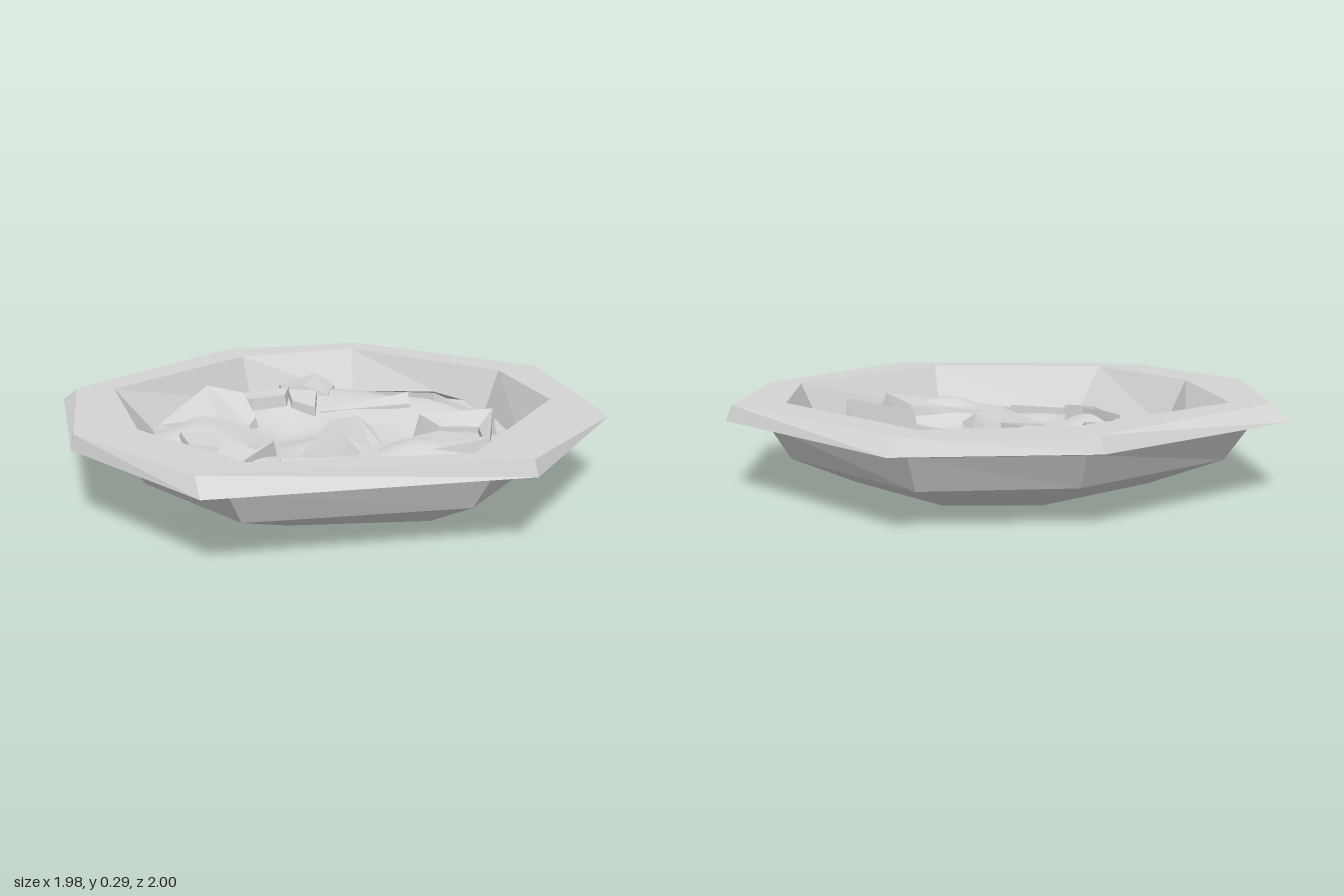
import * as THREE from 'three';
import { mergeVertices } from 'three/addons/utils/BufferGeometryUtils.js';

// Irregular eight-sided outlines as [x, z]
const FOOT = [[-0.02, -0.56], [0.4, -0.39], [0.56, -0.1], [0.44, 0.37], [0, 0.52], [-0.35, 0.34], [-0.52, 0.02], [-0.31, -0.43]];
const WAIST = [[-0.06, -0.8], [0.56, -0.55], [0.765, -0.07], [0.59, 0.49], [-0.07, 0.785], [-0.49, 0.51], [-0.775, 0.05], [-0.49, -0.55]];
const NECK = [[-0.07, -0.86], [0.61, -0.6], [0.86, -0.11], [0.65, 0.52], [-0.09, 0.855], [-0.55, 0.56], [-0.855, 0.05], [-0.53, -0.6]];
const OUTER = [[-0.08, -1], [0.71, -0.7], [0.985, -0.17], [0.79, 0.57], [-0.12, 1], [-0.68, 0.65], [-0.99, 0.06], [-0.62, -0.7]];
const RIM = [[-0.1, -0.955], [0.695, -0.685], [0.905, -0.18], [0.775, 0.56], [-0.155, 0.945], [-0.675, 0.64], [-0.92, 0.09], [-0.6, -0.685]];
const INNER = [[-0.09, -0.83], [0.56, -0.57], [0.78, -0.165], [0.595, 0.54], [-0.05, 0.79], [-0.495, 0.54], [-0.785, 0.06], [-0.49, -0.57]];
const FLOOR = [[-0.05, -0.7], [0.51, -0.52], [0.69, -0.16], [0.51, 0.425], [-0.01, 0.645], [-0.44, 0.45], [-0.65, 0.01], [-0.44, -0.52]];

const ring = (outline, y) => outline.map(([x, z]) => [x, y, z]);

function geometryFrom(triangles) {
  const g = new THREE.BufferGeometry();
  g.setAttribute('position', new THREE.Float32BufferAttribute(triangles.flat(), 3));
  g.computeVertexNormals();
  return g;
}

// Skin a series of closed rings
function loft(rings) {
  const out = [];
  for (let i = 0; i < rings.length - 1; i++) {
    const n = rings[i].length;
    for (let k = 0; k < n; k++) {
      const a = rings[i][k], b = rings[i][(k + 1) % n];
      const A = rings[i + 1][k], B = rings[i + 1][(k + 1) % n];
      out.push(a, A, B, a, B, b);
    }
  }
  return out;
}

// Mounds of the filling: [x, z, radius, height]
const MOUNDS = [
  [0.42, 0.18, 0.18, 0.08], [0.3, 0.24, 0.12, 0.03], [0, -0.5, 0.16, 0.05], [-0.45, 0.12, 0.16, 0.06],
  [0.33, -0.42, 0.16, 0.06], [0.1, -0.35, 0.22, 0.04], [-0.28, -0.33, 0.15, 0.06], [-0.22, -0.5, 0.12, 0.05],
  [-0.47, -0.12, 0.12, 0.06], [0.5, -0.1, 0.12, 0.05], [0, 0.05, 0.12, 0.03], [-0.2, 0.34, 0.12, 0.04],
  [0.03, 0.4, 0.12, 0.03], [-0.15, -0.08, 0.14, -0.02], [0.3, -0.06, 0.13, -0.02],
];
function fillHeight(x, z) {
  let y = 0.13 + 0.008 * Math.sin(13 * x + 4 * z) * Math.cos(11 * z);
  for (const [mx, mz, r, h] of MOUNDS) y += h * Math.exp(-((x - mx) ** 2 + (z - mz) ** 2) / (r * r));
  return y;
}

function fillGeometry() {
  const steps = 6, rows = 14, rings = [];
  for (let r = 0; r <= rows; r++) {
    const t = 1.03 * (1 - r / rows), pts = [];
    FLOOR.forEach(([x, z], k) => {
      const [nx, nz] = FLOOR[(k + 1) % FLOOR.length];
      for (let s = 0; s < steps; s++) {
        const px = (x + (nx - x) * s / steps) * t, pz = (z + (nz - z) * s / steps) * t;
        pts.push([px, fillHeight(px, pz), pz]);
      }
    });
    rings.push(pts);
  }
  const g = geometryFrom(loft(rings));
  g.deleteAttribute('normal');
  const smooth = mergeVertices(g, 1e-4);
  smooth.computeVertexNormals();
  return smooth;
}

// Broken pieces: top corners as [x, z, height]
const CHUNKS = {
  centreChunk: [[0, -0.07, 0.19], [0.1, -0.07, 0.215], [0.11, 0.16, 0.205], [-0.04, 0.23, 0.14]],
  centreChunkSide: [[0.1, -0.07, 0.215], [0.16, -0.06, 0.18], [0.24, 0.11, 0.15], [0.215, 0.165, 0.15], [0.11, 0.165, 0.205]],
  backChunk: [[-0.33, -0.56, 0.19], [-0.18, -0.58, 0.24], [-0.18, -0.4, 0.23], [-0.27, -0.38, 0.22]],
  backChunkSide: [[-0.18, -0.58, 0.24], [-0.1, -0.56, 0.2], [-0.09, -0.41, 0.2], [-0.18, -0.4, 0.23]],
  shoulderChunk: [[-0.48, -0.29, 0.2], [-0.24, -0.37, 0.23], [-0.23, -0.28, 0.22], [-0.34, -0.23, 0.21]],
  shoulderTile: [[-0.24, -0.37, 0.22], [-0.13, -0.38, 0.22], [-0.1, -0.24, 0.19], [-0.2, -0.28, 0.2]],
  sideChunk: [[-0.53, -0.24, 0.25], [-0.37, -0.2, 0.24], [-0.29, -0.09, 0.18], [-0.3, -0.04, 0.16], [-0.42, -0.02, 0.19]],
  sideSlab: [[-0.53, -0.24, 0.25], [-0.42, -0.02, 0.19], [-0.64, 0, 0.15], [-0.6, -0.1, 0.19]],
  shard: [[0.32, -0.13, 0.22], [0.58, -0.16, 0.25], [0.54, -0.08, 0.2], [0.4, -0.09, 0.19]],
  shardSide: [[0.58, -0.16, 0.25], [0.6, 0.14, 0.18], [0.54, -0.08, 0.2]],
  frontSpike: [[-0.11, 0.29, 0.21], [-0.17, 0.42, 0.18], [-0.22, 0.53, 0.13], [-0.18, 0.4, 0.19]],
  frontChunk: [[-0.29, 0.25, 0.2], [-0.15, 0.35, 0.19], [-0.19, 0.42, 0.17], [-0.29, 0.37, 0.17]],
  frontStrip: [[-0.06, 0.38, 0.18], [0.16, 0.36, 0.18], [0.15, 0.4, 0.17], [-0.05, 0.41, 0.175]],
  frontTile: [[-0.14, 0.45, 0.16], [-0.03, 0.46, 0.18], [-0.04, 0.54, 0.16], [-0.18, 0.53, 0.15]],
  leftSlab: [[0.18, 0.2, 0.18], [0.42, 0.03, 0.21], [0.6, 0.15, 0.23], [0.18, 0.38, 0.17]],
  backSlab: [[-0.08, -0.26, 0.17], [0.23, -0.4, 0.23], [0.25, -0.34, 0.2]],
  cornerSlab: [[0.03, -0.53, 0.19], [0.32, -0.47, 0.22], [0.43, -0.52, 0.18], [0.5, -0.4, 0.17], [0.33, -0.41, 0.23]],
  lowTile: [[-0.48, 0.2, 0.19], [-0.36, 0.15, 0.18], [-0.3, 0.28, 0.17], [-0.41, 0.3, 0.18]],
};
function chunkGeometry(corners) {
  const top = corners.map(([x, z, y]) => [x, y, z]);
  // Feet spread outward so the broken sides slope
  const mean = (axis) => corners.reduce((sum, c) => sum + c[axis], 0) / corners.length;
  const cx = mean(0), cz = mean(1), spread = 1.2;
  const foot = corners.map(([x, z]) => [cx + (x - cx) * spread, 0.11, cz + (z - cz) * spread]);
  const out = loft([foot, top]);
  for (let k = 1; k < top.length - 1; k++) out.push(top[0], top[k + 1], top[k]);
  return geometryFrom(out);
}

export function createModel() {
  const model = new THREE.Group();
  model.name = 'rubbleBasin';
  const stone = new THREE.MeshStandardMaterial({ color: 0xd4d4d4 });
  stone.name = 'pale grey stone';
  const add = (parent, name, geometry) => {
    const mesh = new THREE.Mesh(geometry, stone);
    mesh.name = name;
    parent.add(mesh);
  };

  // Faceted basin: foot, wall, overhanging rim, inner wall
  const foot = ring(FOOT, 0);
  const basin = loft([
    foot, ring(WAIST, 0.1), ring(NECK, 0.215), ring(OUTER, 0.243),
    ring(RIM, 0.295), ring(INNER, 0.295), ring(FLOOR, 0.12),
  ]);
  for (let k = 1; k < foot.length - 1; k++) basin.push(foot[0], foot[k], foot[k + 1]);
  add(model, 'basin', geometryFrom(basin));

  // Uneven filling with broken pieces standing out of it
  add(model, 'filling', fillGeometry());
  const rubble = new THREE.Group();
  rubble.name = 'rubble';
  for (const [name, corners] of Object.entries(CHUNKS)) add(rubble, name, chunkGeometry(corners));
  model.add(rubble);
  return model;
}
